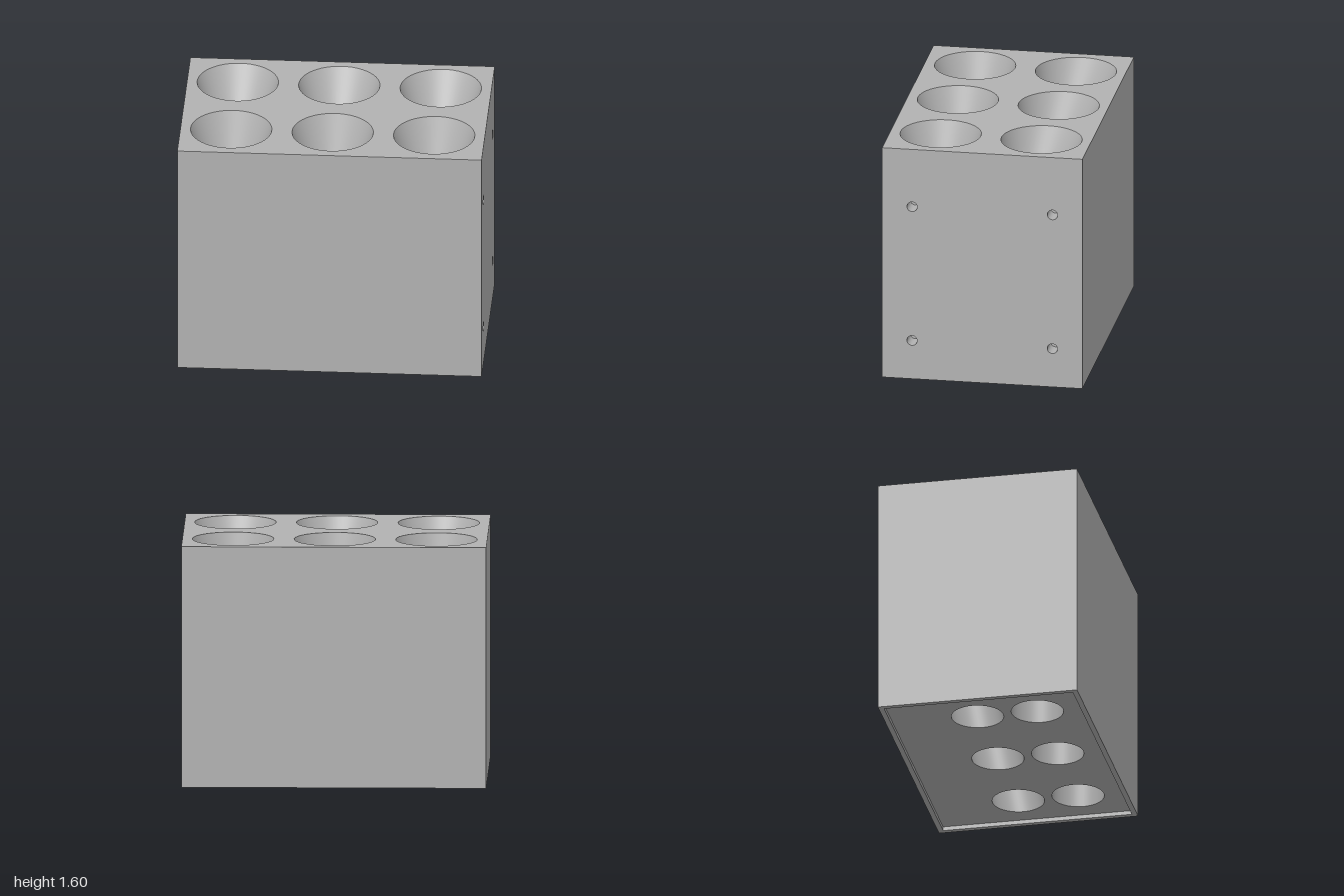
import * as THREE from 'three';
import { mergeVertices } from 'three/addons/utils/BufferGeometryUtils.js';

const W = 2, H = 1.6, D = 1.333;          // block size
const RIM = 0.035, RECESS = 0.027;        // recess under the base
const MOUTH = 0.267, BORE = 0.172, FUNNEL = 0.267;
const SCREW = 0.034, SCREW_DEPTH = 0.13;
const SIDES = 48;

// Flat rectangular panel facing +z, with round or rectangular holes
function panel(w, h, circles = [], rect = null) {
  const outline = (path, a, b) => path.moveTo(-a / 2, -b / 2).lineTo(a / 2, -b / 2)
    .lineTo(a / 2, b / 2).lineTo(-a / 2, b / 2).closePath();
  const shape = new THREE.Shape();
  outline(shape, w, h);
  for (const [x, y, r] of circles) {
    shape.holes.push(new THREE.Path().absarc(x, y, r, 0, Math.PI * 2, true));
  }
  if (rect) {
    const hole = new THREE.Path();
    outline(hole, ...rect);
    shape.holes.push(hole);
  }
  return new THREE.ShapeGeometry(shape, SIDES / 2);
}

// Inward-facing bore between two horizontal circles, sheared along z
function bore(x, y0, z0, r0, y1, z1, r1) {
  let g = new THREE.CylinderGeometry(r1, r0, y1 - y0, SIDES, 1, true);
  g.scale(-1, 1, 1); // mirroring turns the faces inward
  const p = g.attributes.position, k = (z1 - z0) / (y1 - y0);
  for (let i = 0; i < p.count; i++) p.setZ(i, p.getZ(i) + k * p.getY(i));
  g.translate(x, (y0 + y1) / 2, (z0 + z1) / 2);
  g.deleteAttribute('uv');
  g.deleteAttribute('normal');
  g = mergeVertices(g);
  g.computeVertexNormals();
  return g;
}

export function createModel() {
  const model = new THREE.Group();
  const grey = new THREE.MeshStandardMaterial({ color: 0xb2b2b2 });
  grey.name = 'grey';
  const add = (name, geometry, parent = model) => {
    const mesh = new THREE.Mesh(geometry, grey);
    mesh.name = name;
    parent.add(mesh);
    return mesh;
  };

  // Slots: the front row runs straight down, the back row leans forward
  const slots = [];
  for (const x of [-0.667, 0, 0.667]) {
    slots.push({ x, top: 0.333, base: 0.333 }, { x, top: -0.338, base: -0.067 });
  }
  const screws = [];
  for (const z of [-0.467, 0.467]) for (const y of [0.267, 1.2]) screws.push([z, y]);

  // Outer walls
  add('frontWall', panel(W, H).translate(0, H / 2, D / 2));
  add('backWall', panel(W, H).rotateY(Math.PI).translate(0, H / 2, -D / 2));
  add('rightWall', panel(D, H).rotateY(-Math.PI / 2).translate(-W / 2, H / 2, 0));
  add('leftWall', panel(D, H, screws.map(([z, y]) => [-z, y - H / 2, SCREW]))
    .rotateY(Math.PI / 2).translate(W / 2, H / 2, 0));
  add('topFace', panel(W, D, slots.map(s => [s.x, -s.top, MOUTH]))
    .rotateX(-Math.PI / 2).translate(0, H, 0));

  // Underside: rim, recess walls and recessed floor
  const iw = W - 2 * RIM, id = D - 2 * RIM;
  add('baseRim', panel(W, D, [], [iw, id]).rotateX(Math.PI / 2));
  add('baseFloor', panel(iw, id, slots.map(s => [s.x, s.base, BORE]))
    .rotateX(Math.PI / 2).translate(0, RECESS, 0));
  for (const s of [-1, 1]) {
    add('recessWall', panel(iw, RECESS).rotateY(s > 0 ? Math.PI : 0)
      .translate(0, RECESS / 2, s * id / 2));
    add('recessWall', panel(id, RECESS).rotateY(-s * Math.PI / 2)
      .translate(s * iw / 2, RECESS / 2, 0));
  }

  // Funnel mouths leading into the bores
  for (const { x, top, base } of slots) {
    const slot = new THREE.Group();
    slot.name = 'slot';
    model.add(slot);
    const yNeck = H - FUNNEL;
    const zNeck = top + (base - top) * FUNNEL / (H - RECESS);
    add('funnel', bore(x, yNeck, zNeck, BORE, H, top, MOUTH), slot);
    add('shaft', bore(x, RECESS, base, BORE, yNeck, zNeck, BORE), slot);
  }

  // Blind screw holes in the left wall
  for (const [z, y] of screws) {
    const hole = new THREE.Group();
    hole.name = 'screwHole';
    hole.position.set(W / 2 - SCREW_DEPTH / 2, y, z);
    hole.rotation.z = -Math.PI / 2;
    model.add(hole);
    add('screwHoleWall', bore(0, -SCREW_DEPTH / 2, 0, SCREW, SCREW_DEPTH / 2, 0, SCREW), hole);
    add('screwHoleEnd', new THREE.CircleGeometry(SCREW, SIDES)
      .rotateX(-Math.PI / 2).translate(0, -SCREW_DEPTH / 2, 0), hole);
  }
  return model;
}
